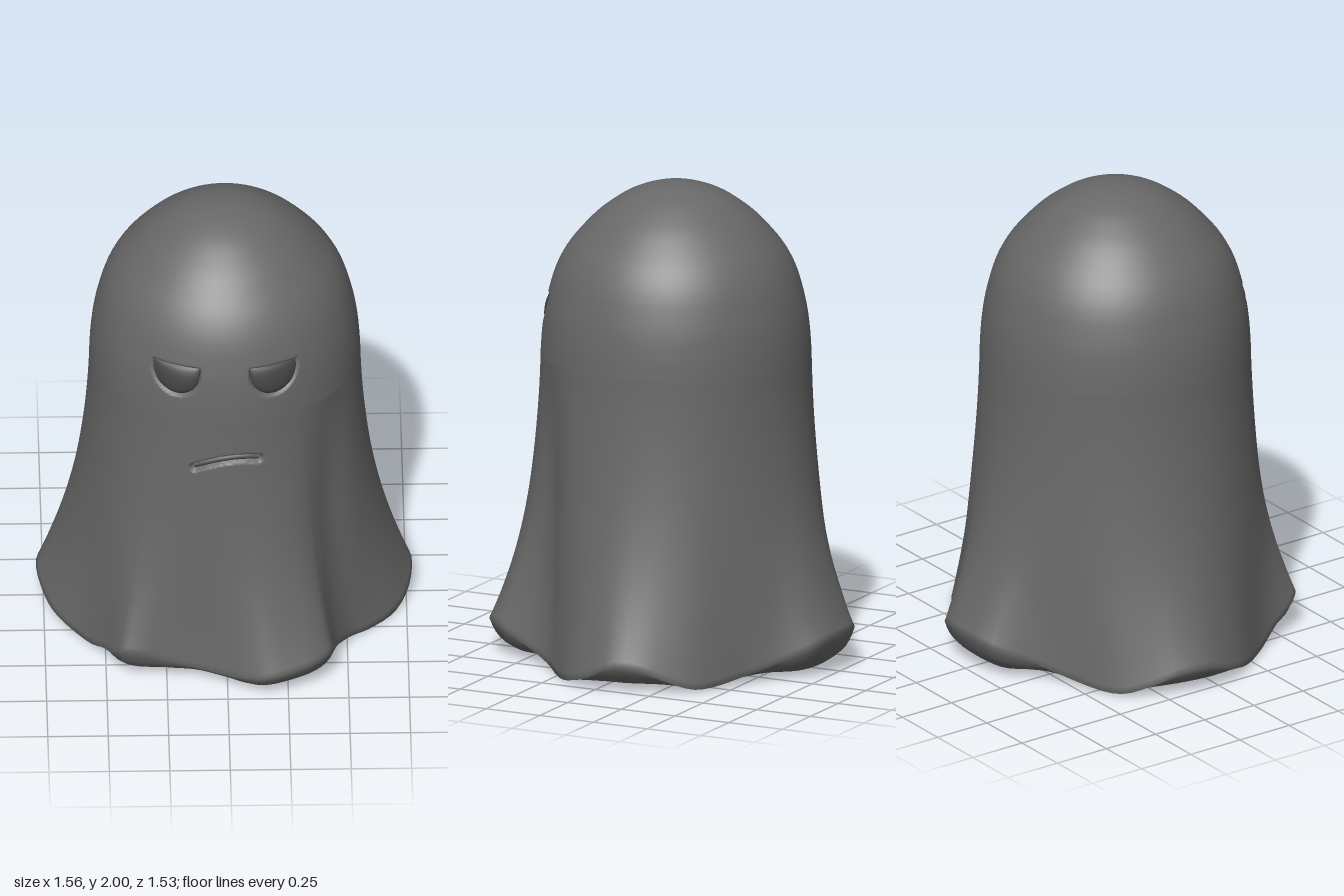
import * as THREE from 'three';

const { smoothstep, clamp, lerp } = THREE.MathUtils;

// Wavy outline of the hem, as [x, z, height of the edge]
const HEM = [
  [0.17, 0.76, 0.11], [0.3, 0.725, 0.13], [0.38, 0.68, 0.14], [0.43, 0.62, 0.14], [0.46, 0.47, 0.07],
  [0.52, 0.34, 0.02], [0.6, 0.26, 0], [0.7, 0.16, 0.01], [0.76, 0.04, 0.05], [0.775, -0.08, 0.11],
  [0.74, -0.2, 0.1], [0.68, -0.3, 0.05], [0.6, -0.39, 0.01], [0.38, -0.52, 0.04], [0.27, -0.62, 0.09],
  [0.19, -0.72, 0.14], [0.12, -0.755, 0.165], [0, -0.768, 0.17], [-0.12, -0.755, 0.165],
  [-0.18, -0.72, 0.14], [-0.27, -0.6, 0.09], [-0.36, -0.52, 0.04], [-0.6, -0.4, 0.01],
  [-0.69, -0.3, 0.05], [-0.75, -0.2, 0.1], [-0.78, -0.07, 0.11], [-0.76, 0.04, 0.07],
  [-0.71, 0.16, 0.03], [-0.57, 0.35, 0.01], [-0.51, 0.46, 0.06], [-0.46, 0.59, 0.13],
  [-0.43, 0.62, 0.155], [-0.36, 0.63, 0.15], [-0.24, 0.615, 0.1], [-0.12, 0.62, 0.065],
  [-0.03, 0.66, 0.065], [0.08, 0.73, 0.09],
];
// Dome profile as [radius, height]
const DOME = [
  [0, 2], [0.1, 1.987], [0.2, 1.95], [0.285, 1.895], [0.35, 1.84], [0.43, 1.75], [0.475, 1.68],
  [0.507, 1.605], [0.538, 1.485], [0.553, 1.38], [0.56, 1.28],
];
// Centre line of the mouth
const MOUTH = [[-0.135, 1.05], [-0.09, 1.07], [-0.03, 1.09], [0.03, 1.1], [0.08, 1.1], [0.13, 1.092]];
const NECK = 1.28, BOTTOM = 0.02;
const HEAD_Z = 0.013; // the head sits slightly forward of the hem
const EYE = { left: 0.193, right: -0.21, y: 1.5, width: 0.1, drop: 0.11, lid: 1.524 };

const hemPoints = new THREE.CatmullRomCurve3(
  HEM.map(([x, z, y]) => new THREE.Vector3(x, y, z)), true).getPoints(400);
const domePoints = new THREE.SplineCurve(DOME.map((p) => new THREE.Vector2(...p))).getPoints(200);

// Radius and height of the hem in a direction: where the ray crosses the outline
function hemAt(angle) {
  const dx = Math.sin(angle), dz = Math.cos(angle);
  for (let i = 0; i < hemPoints.length - 1; i++) {
    const a = hemPoints[i], b = hemPoints[i + 1];
    const ca = dz * a.x - dx * a.z, cb = dz * b.x - dx * b.z;
    if (ca <= 0 && cb > 0 && a.x * dx + a.z * dz > 0) {
      const p = a.clone().lerp(b, ca / (ca - cb));
      return { hem: Math.hypot(p.x, p.z), lift: Math.max(p.y, 0) };
    }
  }
  return { hem: 0.65, lift: 0.05 };
}

function domeRadius(y) {
  const i = domePoints.findIndex((p) => p.y <= y);
  if (i <= 0) return i < 0 ? 0.56 : 0;
  const a = domePoints[i - 1], b = domePoints[i];
  return lerp(a.x, b.x, (a.y - y) / (a.y - b.y));
}

// Depth of the eye sockets and mouth groove at a point on the front
function faceDepth(x, y) {
  const eyeX = x - (x > 0 ? EYE.left : EYE.right);
  const eye = Math.max((Math.hypot(eyeX / EYE.width, (y - EYE.y) / EYE.drop) - 1) * 0.1, y - EYE.lid);
  let mouth = Infinity;
  for (let i = 0; i < MOUTH.length - 1; i++) {
    const [ax, ay] = MOUTH[i], [bx, by] = MOUTH[i + 1];
    const ex = bx - ax, ey = by - ay;
    const t = clamp(((x - ax) * ex + (y - ay) * ey) / (ex * ex + ey * ey), 0, 1);
    mouth = Math.min(mouth, Math.hypot(x - ax - ex * t, y - ay - ey * t));
  }
  return 0.025 * (1 - smoothstep(eye, -0.01, 0.006)) + 0.024 * (1 - smoothstep(mouth, 0.008, 0.024));
}

// Columns and heights, packed closer together over the face
const FACE = 0.64;
const columns = [];
for (let i = 0; i < 130; i++) columns.push(lerp(-FACE, FACE, i / 130));
for (let i = 0; i < 90; i++) columns.push(lerp(FACE, Math.PI * 2 - FACE, i / 90));
const directions = columns.map((angle) => {
  // softHem averages the neighbours, so that folds fade out higher up
  let softHem = 0;
  for (let k = -4; k <= 4; k++) softHem += hemAt(angle + k * 0.07).hem / 9;
  return { angle, softHem, ...hemAt(angle) };
});

const heights = [];
for (let i = 0; i < 28; i++) heights.push(2 - 0.4 * (i / 28) ** 2);
for (let i = 0; i < 90; i++) heights.push(lerp(1.6, 1, i / 90));
for (let i = 0; i <= 34; i++) heights.push(lerp(1, 0, i / 34));

// Point of the cloth: dome above, folds spreading out to the hem below
function clothPoint(Y, { angle, hem, softHem, lift }) {
  let r = domeRadius(Y), y = Y;
  if (Y < NECK) {
    const spread = lerp(hem, softHem, smoothstep(Y, 0.15, 0.9));
    r = lerp(0.56 + 0.02 * (NECK - Y), spread, (1 - Y / NECK) ** 2);
    // deep crease beside the front fold
    r -= 0.035 * Math.exp(-(((angle - 0.85) / 0.2) ** 2)) * Math.sin((Math.PI * Y) / NECK);
  }
  if (Y < 0.8) y += lift * (1 - Y / 0.8) ** 2;
  if (Y > 1 && Y < 1.6 && Math.cos(angle) > 0.7) r -= faceDepth(r * Math.sin(angle), y);
  return [r, y, HEAD_Z * smoothstep(Y, 0.1, 1.1)];
}

function part(name, geometry, color) {
  const mesh = new THREE.Mesh(geometry, new THREE.MeshStandardMaterial({ color }));
  mesh.name = name;
  return mesh;
}

// Surface from closed rings of [radius, height, forward shift] given by a rule
function ringSurface(ringCount, rule) {
  const positions = [], index = [], n = directions.length;
  for (let i = 0; i < ringCount; i++) {
    for (const d of directions) {
      const [r, y, shift] = rule(i, d);
      positions.push(r * Math.sin(d.angle), y, r * Math.cos(d.angle) + shift);
    }
  }
  for (let i = 0; i < ringCount - 1; i++) {
    for (let j = 0; j < n; j++) {
      const a = i * n + j, c = i * n + ((j + 1) % n);
      index.push(a, a + n, c, c, a + n, c + n);
    }
  }
  const geometry = new THREE.BufferGeometry();
  geometry.setAttribute('position', new THREE.Float32BufferAttribute(positions, 3));
  geometry.setIndex(index);
  geometry.computeVertexNormals();
  return geometry;
}

// Half-moon eye bulging gently out of its socket
function eyeGeometry(centreX) {
  const geometry = new THREE.PlaneGeometry(2, 1, 24, 12);
  const pos = geometry.attributes.position;
  for (let i = 0; i < pos.count; i++) {
    const u = pos.getX(i), v = pos.getY(i) + 0.5;
    const x = centreX + EYE.width * u;
    const y = lerp(EYE.y - EYE.drop * Math.sqrt(1 - u * u), EYE.lid, v);
    const depth = 0.018 - 0.02 * Math.sqrt((1 - u * u) * 4 * v * (1 - v));
    pos.setXYZ(i, x, y, Math.sqrt((domeRadius(y) - depth) ** 2 - x * x) + HEAD_Z);
  }
  geometry.computeVertexNormals();
  return geometry;
}

export function createModel() {
  const group = new THREE.Group();
  group.name = 'ghost';
  const CLOTH = 0x686868;

  // Sheet with folds and face hollows, its hem rounding under to the base
  const CURL = 6;
  group.add(part('sheet', ringSurface(heights.length + CURL, (i, d) => {
    if (i < heights.length) return clothPoint(heights[i], d);
    const s = (i - heights.length + 1) / CURL;
    const bulge = 0.015 * Math.sin(Math.PI * s) * clamp(d.lift / 0.1, 0, 1);
    return [d.hem * (1 - 0.14 * s) + bulge, lerp(d.lift, BOTTOM, s) - bulge, 0];
  }), CLOTH));

  // Flat underside
  group.add(part('underside', ringSurface(2, (i, d) => [i ? 0 : d.hem * 0.86, BOTTOM, 0]), CLOTH));

  // Dark eyes and mouth set into their hollows
  group.add(part('leftEye', eyeGeometry(EYE.left), 0x444444));
  group.add(part('rightEye', eyeGeometry(EYE.right), 0x444444));
  const mouthPath = new THREE.CatmullRomCurve3(
    MOUTH.map(([x, y]) => new THREE.Vector3(x, y, Math.sqrt(0.542 ** 2 - x * x) + HEAD_Z)));
  group.add(part('mouth', new THREE.TubeGeometry(mouthPath, 30, 0.016, 10), 0x505050));

  return group;
}
